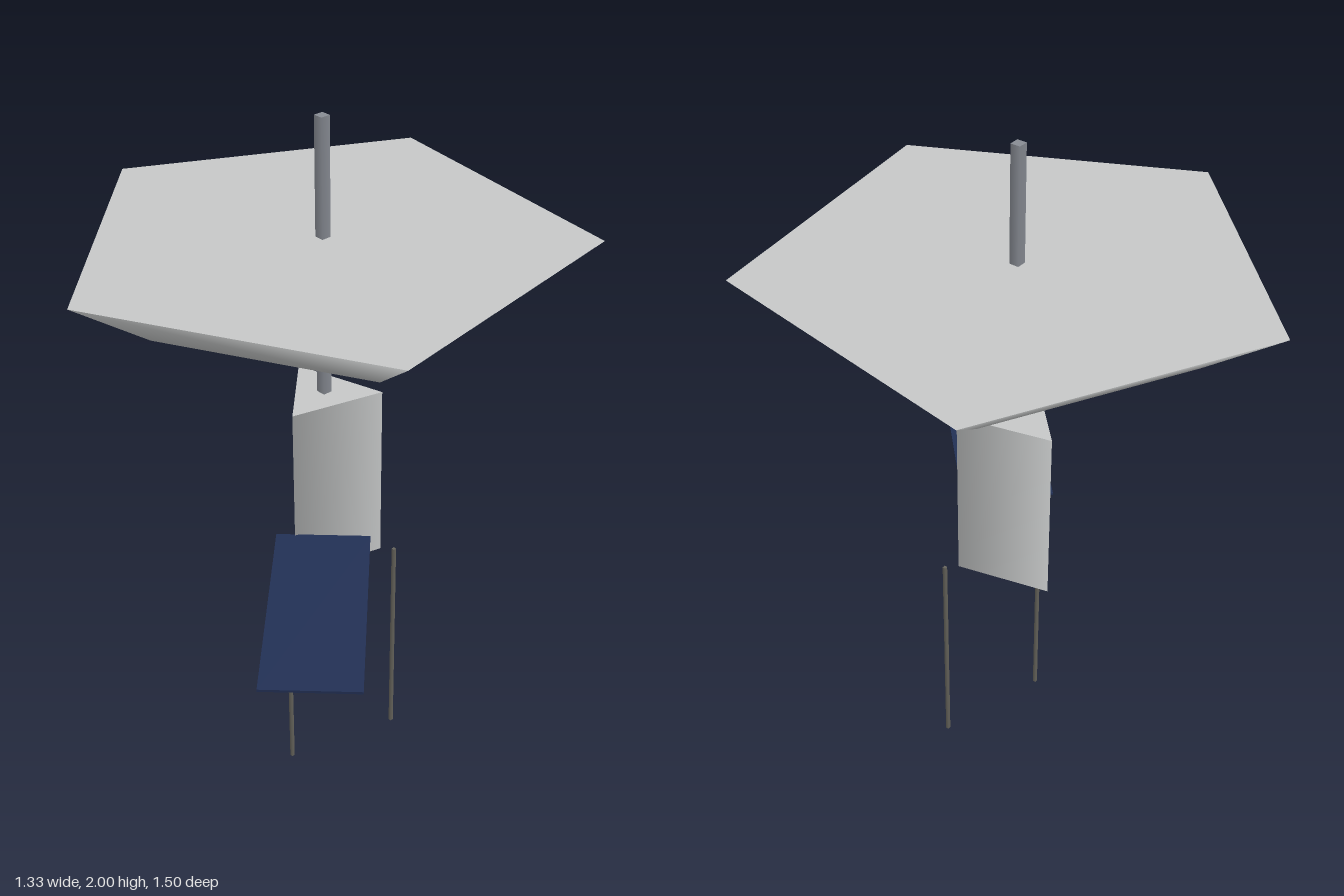
import * as THREE from 'three';

const material = (name, color) => {
  const m = new THREE.MeshStandardMaterial({ color });
  m.name = name;
  return m;
};

export function createModel() {
  const model = new THREE.Group();
  model.name = 'satellite';
  const hull = material('pale grey hull', 0xc6c8c8);
  const metal = material('mast grey', 0x888c94);
  const rod = material('dark rod grey', 0x66645c);
  const solar = material('navy solar cell', 0x223055);

  // Everything sits around one vertical axis
  const axis = new THREE.Group();
  axis.name = 'spacecraft';
  axis.position.set(-0.07, 0, -0.0515);
  model.add(axis);

  const add = (name, geometry, mat, x, y, z) => {
    const mesh = new THREE.Mesh(geometry, mat);
    mesh.name = name;
    mesh.position.set(x, y, z);
    axis.add(mesh);
    return mesh;
  };
  // Few-sided prism with one corner pointing to +x
  const prism = (r, h, sides) =>
    new THREE.CylinderGeometry(r, r, h, sides, 1, false, Math.PI / 2);

  // Triangular body and central mast
  add('body', prism(0.16, 0.533, 3), hull, 0, 0.9335, 0);
  add('mast', prism(0.02, 0.8, 4), metal, 0, 1.6, 0);

  // Five-sided dish: flattened lower hemisphere closed by a flat lid
  const R = 0.733;
  const bowl = new THREE.SphereGeometry(R, 5, 2, Math.PI, Math.PI * 2, Math.PI / 2, Math.PI / 2);
  bowl.scale(1, 0.29, 1);
  add('dishBowl', bowl, hull, 0, 1.667, 0);
  const lid = new THREE.CircleGeometry(R, 5);
  lid.rotateX(-Math.PI / 2);
  add('dishLid', lid, hull, 0, 1.667, 0);

  // Solar panel reaching forward
  add('solarPanel', new THREE.BoxGeometry(0.267, 0.007, 0.667), solar, 0, 0.802, 0.466);

  // Two thin rods below two corners of the body
  [0, (Math.PI * 2) / 3].forEach((a, i) => {
    add(`rod${i + 1}`, prism(0.0067, 0.667, 4), rod, 0.2 * Math.cos(a), 0.3335, 0.2 * Math.sin(a));
  });

  return model;
}
